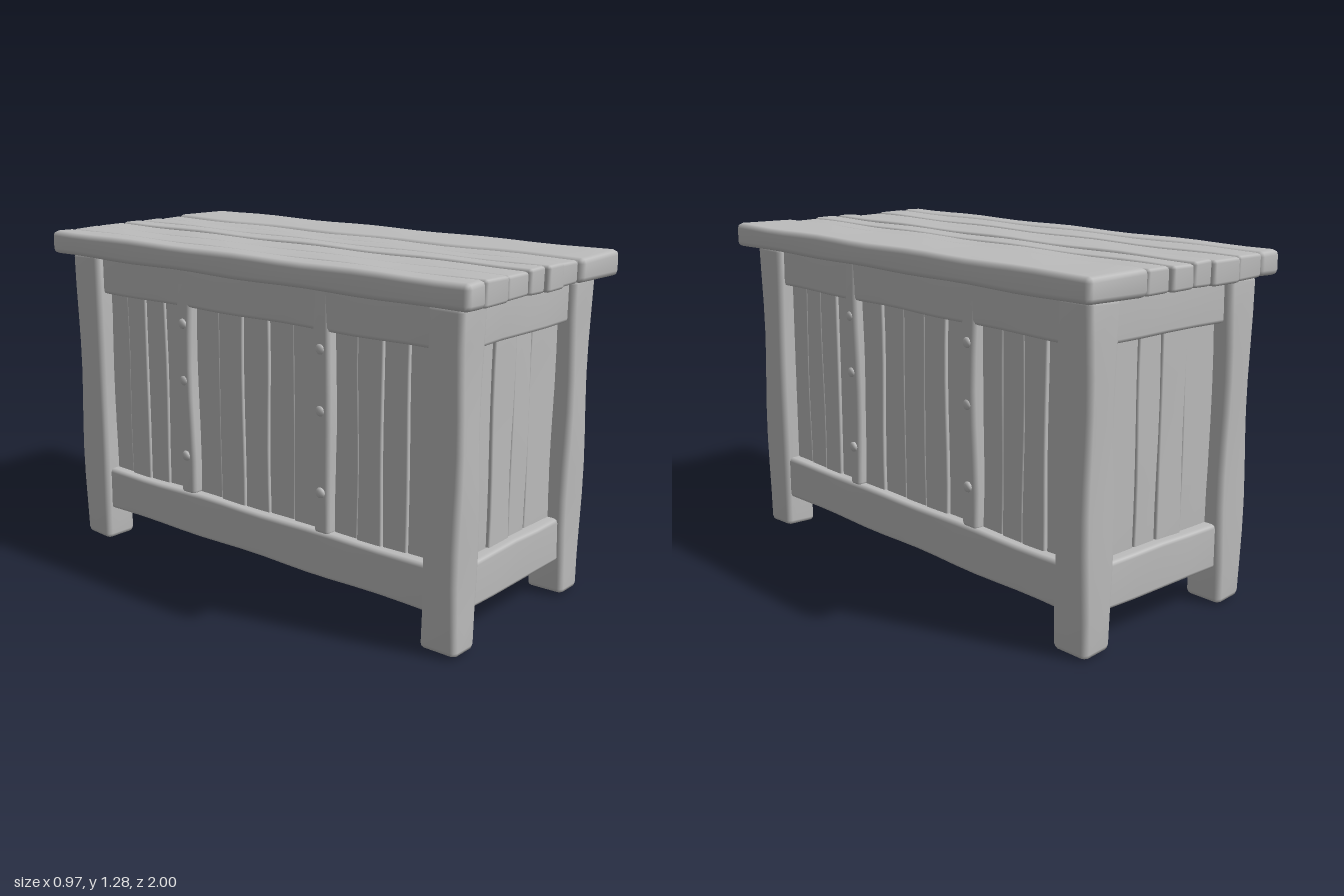
import * as THREE from 'three';
import { mergeVertices } from 'three/addons/utils/BufferGeometryUtils.js';

const wood = new THREE.MeshStandardMaterial({ color: 0xbcbcbc });
wood.name = 'plain grey wood';

// Worn timber between two corners: a box with bevelled edges and a slight waviness
function timber(name, x0, x1, y0, y1, z0, z1, { r = 0.015, wear = 0.004, seed = 0 } = {}) {
  const size = [x1 - x0, y1 - y0, z1 - z0];
  const mid = [(x0 + x1) / 2, (y0 + y1) / 2, (z0 + z1) / 2];
  const n = size.map((s) => Math.max(3, Math.round(s / 0.1)));
  let g = new THREE.BoxGeometry(...size, ...n);
  const pos = g.attributes.position;
  const v = new THREE.Vector3();
  const inner = new THREE.Vector3();
  for (let k = 0; k < pos.count; k++) {
    v.fromBufferAttribute(pos, k);
    for (let a = 0; a < 3; a++) {
      const h = size[a] / 2;
      const i = Math.round((v.getComponent(a) / size[a] + 0.5) * n[a]);
      const core = -(h - r) + (2 * (h - r) * (i - 1)) / (n[a] - 2);
      const p = i === 0 ? -h : i === n[a] ? h : core;
      v.setComponent(a, p);
      inner.setComponent(a, THREE.MathUtils.clamp(p, -h + r, h - r));
    }
    v.sub(inner).normalize().multiplyScalar(r).add(inner);
    const { x, y, z } = v;
    v.x += wear * (Math.sin(9 * z + 7 * y + seed) - 1) * 0.5 * Math.sign(x);
    v.y += wear * (Math.sin(11 * z + 13 * x + 2 * seed) - 1) * 0.5 * Math.sign(y);
    v.z += wear * (Math.sin(8 * y + 15 * x + 3 * seed) - 1) * 0.5 * Math.sign(z);
    pos.setXYZ(k, v.x, v.y, v.z);
  }
  g.deleteAttribute('normal');
  g.deleteAttribute('uv');
  g = mergeVertices(g, 1e-5);
  g.computeVertexNormals();
  const mesh = new THREE.Mesh(g, wood);
  mesh.name = name;
  mesh.position.set(...mid);
  return mesh;
}

export function createModel() {
  const chest = new THREE.Group();
  chest.name = 'woodenChest';
  let seed = 1;
  const add = (name, x0, x1, y0, y1, z0, z1, opt = {}) =>
    chest.add(timber(name, x0, x1, y0, y1, z0, z1, { seed: seed++, ...opt }));

  // Lid planks: left edge, right edge, back end, front end
  const planks = [
    [-0.488, -0.375, -0.985, 1.0], [-0.38, -0.243, -0.99, 0.995],
    [-0.243, -0.105, -1.0, 0.985], [-0.108, -0.016, -0.99, 0.99],
    [-0.004, 0.1, -0.998, 0.995], [0.096, 0.21, -0.985, 0.985], [0.208, 0.486, -0.995, 1.0],
  ];
  planks.forEach(([a, b, back, front], i) =>
    add('lidPlank', a, b, 1.195, 1.29 - (i % 3) * 0.003, back, front, { r: i === 0 || i === 6 ? 0.02 : 0.012 }));

  // Inner body, closing the floor and the space under the lid
  add('body', -0.34, 0.34, 0.145, 1.2, -0.86, 0.86, { r: 0.005, wear: 0 });

  for (const s of [-1, 1]) {
    // Mirrored extents across x or z
    const span = (a, b) => (s > 0 ? [a, b] : [-b, -a]);

    // Corner legs
    for (const [z0, z1] of [[0.79, 0.942], [-0.942, -0.79]])
      add('leg', ...span(0.278, 0.42), 0.005, 1.205, z0, z1, { r: 0.02, wear: 0.007 });

    // Long side rails and muntins
    add('sideTopRail', ...span(0.3, 0.392), 1.04, 1.2, -0.83, 0.83);
    add('sideBottomRail', ...span(0.3, 0.398), 0.138, 0.312, -0.83, 0.83);
    for (const z of [0.34, -0.34]) {
      add('sideMuntin', ...span(0.32, 0.398), 0.3, 1.2, z - 0.04, z + 0.04, { wear: 0.008 });
      // Peg heads on the muntin
      for (const y of [0.46, 0.76, 0.98]) {
        const peg = new THREE.Mesh(new THREE.SphereGeometry(0.02, 10, 6), wood);
        peg.name = 'peg';
        peg.scale.x = 0.6;
        peg.position.set(s * 0.394, y, z);
        chest.add(peg);
      }
    }

    // Long side panel boards, set at slightly different depths
    for (const [from, to, count] of [[-0.8, -0.37, 4], [-0.31, 0.31, 5], [0.37, 0.8, 4]]) {
      const w = (to - from) / count;
      for (let i = 0; i < count; i++)
        add('sideBoard', ...span(0.31, 0.354 + 0.008 * ((i * 2) % 3) / 2), 0.28, 1.08,
          from + i * w, from + (i + 1) * w, { r: 0.006 });
    }

    // End rails
    add('endTopRail', -0.3, 0.3, 1.04, 1.2, ...span(0.82, 0.912));
    add('endBottomRail', -0.3, 0.3, 0.138, 0.312, ...span(0.82, 0.916));

    // End panel boards
    const cuts = [-0.29, -0.13, 0.0, 0.11, 0.29];
    for (let i = 0; i < 4; i++)
      add('endBoard', cuts[i], cuts[i + 1], 0.28, 1.08,
        ...span(0.83, 0.872 + 0.008 * ((i * 2) % 3) / 2), { r: 0.006 });
  }
  return chest;
}
